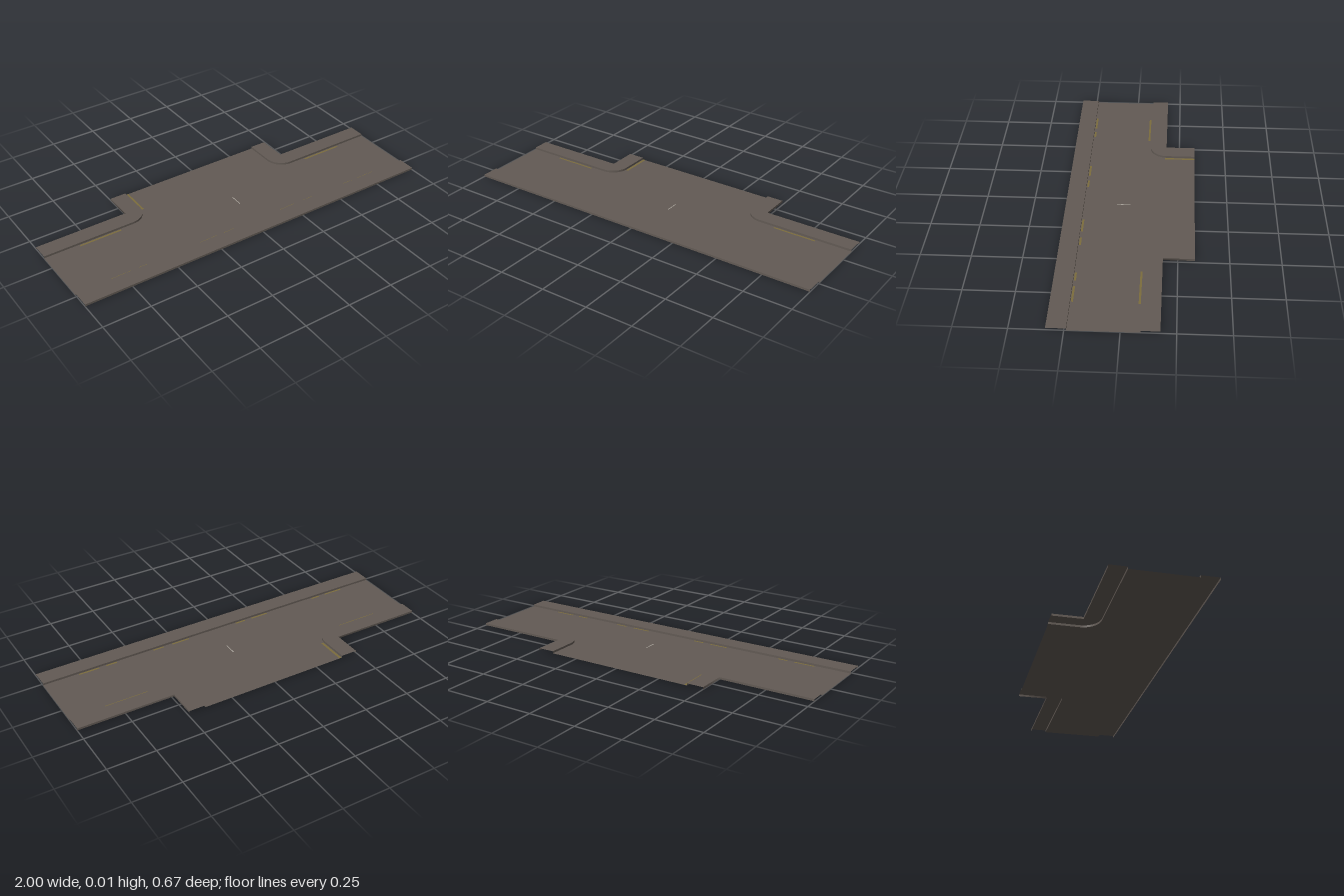
import * as THREE from 'three';

const H = 0.011; // kerb height

export function createModel() {
  const group = new THREE.Group();
  const mat = (name, color) => {
    const m = new THREE.MeshStandardMaterial({ color, side: THREE.DoubleSide });
    m.name = name;
    return m;
  };
  const asphalt = mat('asphalt', 0x625a54);
  const yellow = mat('faded yellow paint', 0x7c6d3c);
  const white = mat('pale paint', 0xa8a29a);

  const add = (name, geo, material) => {
    const mesh = new THREE.Mesh(geo, material);
    mesh.name = name;
    group.add(mesh);
  };
  // Horizontal sheet from [x, z] points
  const sheet = (name, pts, y, material = asphalt) => {
    const shape = new THREE.Shape(pts.map(([x, z]) => new THREE.Vector2(x, -z)));
    const geo = new THREE.ShapeGeometry(shape);
    geo.rotateX(-Math.PI / 2).translate(0, y, 0);
    add(name, geo, material);
  };
  // Vertical strip following [x, z] points
  const wall = (name, pts) => {
    const pos = [], index = [];
    pts.forEach(([x, z], i) => {
      pos.push(x, 0, z, x, H, z);
      if (i) {
        const a = 2 * i - 2;
        index.push(a, a + 2, a + 1, a + 1, a + 2, a + 3);
      }
    });
    const geo = new THREE.BufferGeometry();
    geo.setAttribute('position', new THREE.Float32BufferAttribute(pos, 3));
    geo.setIndex(index);
    geo.computeVertexNormals();
    add(name, geo, material(asphalt));
  };
  const material = (m) => m;
  const rect = (x0, x1, z0, z1) => [[x0, z1], [x1, z1], [x1, z0], [x0, z0]];

  // Kerb line of one back corner, from the road end round into the side road
  const kerbLine = (side, kerbX) => {
    const r = 0.09, pts = [[side, -0.09]];
    for (let i = 0; i <= 12; i++) {
      const a = (i / 12) * Math.PI / 2;
      pts.push([kerbX + side * r * (1 - Math.sin(a)), -0.09 - r * (1 - Math.cos(a))]);
    }
    pts.push([kerbX, -0.333]);
    return pts;
  };
  const leftKerb = kerbLine(1, 0.4), rightKerb = kerbLine(-1, -0.412);

  // Road surface of the whole junction
  sheet('road', [[-1, 0.24], [1, 0.24], ...leftKerb, ...[...rightKerb].reverse()], 0);

  // Front pavement
  sheet('frontPavement', rect(-1, 1, 0.24, 0.333), H);
  wall('frontKerb', [[1, 0.24], [-1, 0.24]]);
  wall('frontOuterEdge', [[-1, 0.333], [1, 0.333]]);

  // Back corner pavements
  [['left', 1, leftKerb, 0.487], ['right', -1, rightKerb, -0.5]].forEach(([name, side, kerb, outerX]) => {
    const outer = [[outerX, -0.333], [outerX, -0.178], [side, -0.178]];
    sheet(name + 'Pavement', [...kerb, ...outer], H);
    wall(name + 'Kerb', side < 0 ? kerb : [...kerb].reverse());
    wall(name + 'OuterEdge', side < 0 ? outer : [...outer].reverse());
  });

  // Worn paint along the kerbs
  [[-0.81, -0.7], [-0.66, -0.61], [-0.31, -0.21], [-0.17, -0.11],
    [0.18, 0.28], [0.33, 0.39], [0.6, 0.66], [0.7, 0.81]].forEach(([a, b]) =>
    sheet('frontKerbPaint', rect(a, b, 0.227, 0.237), 0.0008, yellow));
  [[-0.81, -0.58], [0.58, 0.81]].forEach(([a, b]) =>
    sheet('backKerbPaint', rect(a, b, -0.084, -0.074), 0.0008, yellow));
  sheet('sideKerbPaint', rect(-0.408, -0.395, -0.333, -0.17), 0.0008, yellow);
  sheet('centreMark', rect(0.039, 0.044, 0, 0.07), 0.0008, white);

  return group;
}
